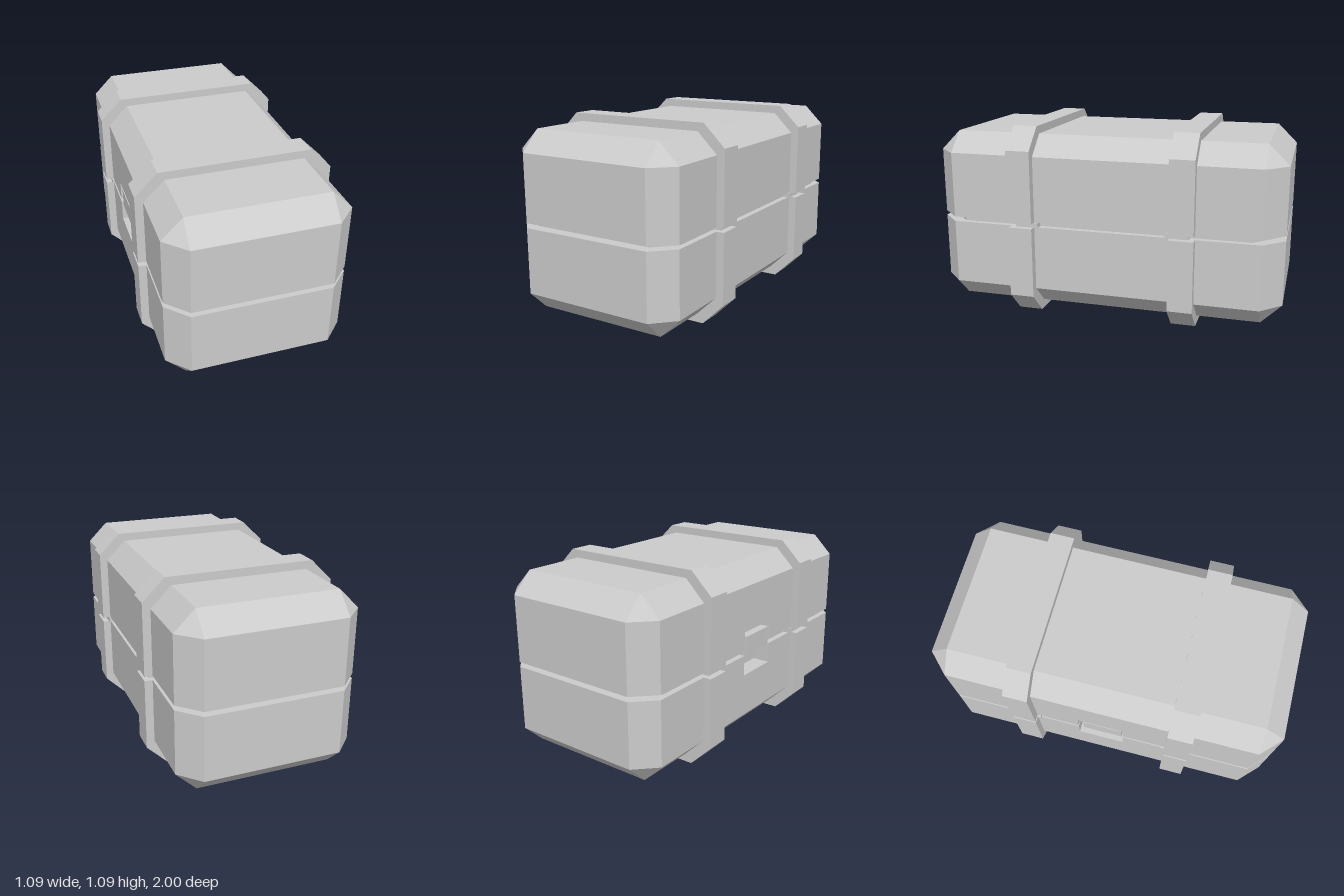
import * as THREE from 'three';
import { ConvexGeometry } from 'three/addons/geometries/ConvexGeometry.js';

const material = new THREE.MeshStandardMaterial({ color: 0xcccccc, flatShading: true });
const SEAM = [0.53, 0.557];      // groove between the two shells
const CUT = [0.41, 0.67];        // height range of the latch recess
const RECESS = { x: -0.4, z: 0.135 };

// Chamfered rectangle as [x, z] corners, counter-clockwise, starting on the -x side
function outline(hx, hz, c) {
  return [[-hx, hz - c], [-hx, -hz + c], [-hx + c, -hz], [hx - c, -hz],
    [hx, -hz + c], [hx, hz - c], [hx - c, hz], [-hx + c, hz]];
}

// Slab from y0 to y1 with the latch recess cut out of its -x side
function notchedSlab(hx, hz, c, y0, y1) {
  const p = outline(hx, hz, c);
  const { x, z } = RECESS;
  p.splice(1, 0, [-hx, z], [x, z], [x, -z], [-hx, -z]);
  const shape = new THREE.Shape(p.map(([a, b]) => new THREE.Vector2(a, b)));
  return new THREE.ExtrudeGeometry(shape, { depth: y1 - y0, bevelEnabled: false })
    .rotateX(-Math.PI / 2).translate(0, y0, 0);
}

// Closed end of a shell: straight wall, then a chamfer up to a smaller rectangle
function shellCap(yCut, yChamfer, yEnd) {
  const points = [];
  for (const y of [yCut, yChamfer]) {
    for (const [x, z] of outline(0.5, 1, 0.115)) points.push(new THREE.Vector3(x, y, z));
  }
  for (const x of [-0.385, 0.385]) {
    for (const z of [-0.885, 0.885]) points.push(new THREE.Vector3(x, yEnd, z));
  }
  return new ConvexGeometry(points);
}

// U-shaped half of a strap, from the seam around the closed end of a shell
function strapHalf(ySeam, yChamfer, yEnd, yInner) {
  const right = [[0.545, ySeam], [0.545, yChamfer], [0.42, yEnd]];
  const inner = [[0.36, yInner], [0.47, yInner + (yChamfer - yEnd)], [0.47, ySeam]];
  const flip = (pts) => pts.map(([x, y]) => [-x, y]).reverse();
  const loop = [...right, ...flip(right), ...flip(inner), ...inner];
  const shape = new THREE.Shape(loop.map(([x, y]) => new THREE.Vector2(x, y)));
  return new THREE.ExtrudeGeometry(shape, { depth: 0.14, bevelEnabled: false }).translate(0, 0, -0.07);
}

export function createModel() {
  const model = new THREE.Group();
  model.name = 'crate';
  const add = (parent, name, geometry, x = 0, y = 0, z = 0) => {
    const mesh = new THREE.Mesh(geometry, material);
    mesh.name = name;
    mesh.position.set(x, y, z);
    parent.add(mesh);
  };

  // Lower and upper shells
  const base = new THREE.Group();
  base.name = 'base';
  add(base, 'baseBottom', shellCap(CUT[0], 0.162, 0.05));
  add(base, 'baseRim', notchedSlab(0.5, 1, 0.115, CUT[0], SEAM[0]));

  const lid = new THREE.Group();
  lid.name = 'lid';
  add(lid, 'lidTop', shellCap(CUT[1], 0.933, 1.047));
  add(lid, 'lidRim', notchedSlab(0.5, 1, 0.115, SEAM[1], CUT[1]));
  model.add(base, lid);

  // Recessed core seen in the seam
  add(model, 'seamCore', notchedSlab(0.466, 0.935, 0.105, ...SEAM));

  // Two straps around the body, with their own cores in the seam
  for (const side of [-1, 1]) {
    const strap = new THREE.Group();
    strap.name = side > 0 ? 'frontStrap' : 'backStrap';
    strap.position.z = side * 0.46;
    add(strap, 'strapLower', strapHalf(SEAM[0], 0.125, 0, 0.07));
    add(strap, 'strapUpper', strapHalf(SEAM[1], 0.97, 1.093, 1.02));
    for (const x of [-0.48, 0.48]) {
      add(strap, 'strapSeamCore', new THREE.BoxGeometry(0.06, SEAM[1] - SEAM[0], 0.13),
        x, (SEAM[0] + SEAM[1]) / 2, -side * 0.028);
    }
    model.add(strap);
  }

  // Latch plate in the upper half of the recess
  add(model, 'latch', new THREE.BoxGeometry(0.1, 0.11, 0.23), -0.445, 0.58, 0.01);
  return model;
}
